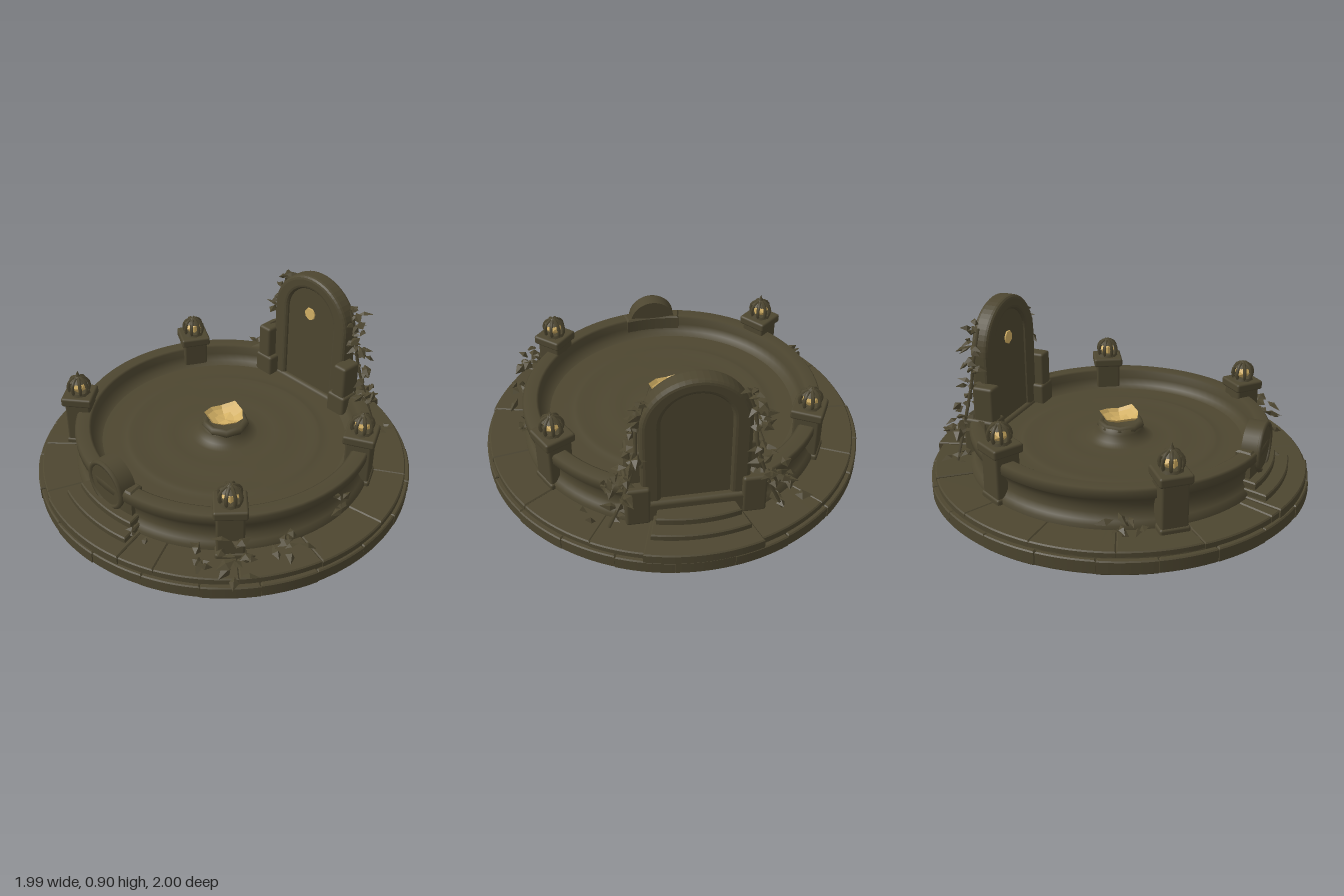
import * as THREE from 'three';
import { mergeGeometries } from 'three/addons/utils/BufferGeometryUtils.js';
import { RoundedBoxGeometry } from 'three/addons/geometries/RoundedBoxGeometry.js';

const stone = new THREE.MeshStandardMaterial({ color: 0x4d4630, side: THREE.DoubleSide });
stone.name = 'mossy dark stone';
const gold = new THREE.MeshStandardMaterial({ color: 0xd3b064, side: THREE.DoubleSide });
gold.name = 'glowing gold';

let seed = 7;
const rnd = (a = 0, b = 1) => {
  seed = (seed * 16807) % 2147483647;
  return a + (b - a) * (seed / 2147483647);
};

function add(parent, name, geometry, material = stone, x = 0, y = 0, z = 0) {
  const mesh = new THREE.Mesh(geometry, material);
  mesh.name = name;
  mesh.position.set(x, y, z);
  parent.add(mesh);
  return mesh;
}

const lathe = (pts, n = 72, start = 0, sweep = Math.PI * 2) =>
  new THREE.LatheGeometry(pts.map(p => new THREE.Vector2(...p)), n, start, sweep);

// Bevelled ring sector lying flat; angle 0 is +x and grows towards the back
function arcBlock(r0, r1, a0, a1, y0, y1, bevel = 0.006) {
  const s = new THREE.Shape();
  s.absarc(0, 0, r1, a0, a1, false);
  s.absarc(0, 0, r0, a1, a0, true);
  const g = new THREE.ExtrudeGeometry(s, {
    depth: y1 - y0 - 2 * bevel, bevelThickness: bevel, bevelSize: bevel,
    bevelOffset: -bevel, bevelSegments: 1, curveSegments: 10,
  });
  return g.rotateX(-Math.PI / 2).translate(0, y0 + bevel, 0);
}

// Upright outline with a round top
function archPath(path, half, bottom, spring) {
  path.moveTo(-half, bottom);
  path.lineTo(half, bottom);
  path.lineTo(half, spring);
  path.absarc(0, spring, half, 0, Math.PI, false);
  path.lineTo(-half, bottom);
  return path;
}

function archSlab(half, bottom, spring, z0, z1, bevel, holeHalf) {
  const s = archPath(new THREE.Shape(), half, bottom, spring);
  if (holeHalf) s.holes.push(archPath(new THREE.Path(), holeHalf, bottom + 0.08, spring + 0.02));
  return new THREE.ExtrudeGeometry(s, {
    depth: z1 - z0 - 2 * bevel, bevelThickness: bevel, bevelSize: bevel,
    bevelOffset: -bevel, bevelSegments: 3, curveSegments: 14,
  }).translate(0, 0, z0 + bevel);
}

// Folded pointed leaf
function leaf(len, width) {
  const o = [0, 0, 0], t = [0, -len * 0.15, len], m = [0, 0.012, len * 0.45];
  const l = [-width, -0.008, len * 0.4], r = [width, -0.008, len * 0.4];
  const tris = [[o, m, l], [l, m, t], [o, r, m], [m, r, t]];
  const g = new THREE.BufferGeometry();
  g.setAttribute('position', new THREE.Float32BufferAttribute(tris.flat(2), 3));
  g.computeVertexNormals();
  return g;
}

// Leaves scattered in a box around a point, fanning outwards
function ivy(parent, name, [x, y, z], [sx, sy, sz], count, size = 0.08) {
  const leaves = [];
  for (let i = 0; i < count; i++) {
    const g = leaf(size * rnd(0.7, 1.2), size * rnd(0.2, 0.36));
    g.rotateZ(rnd(-0.8, 0.8)).rotateX(rnd(-0.4, 0.5)).rotateY(rnd(0, Math.PI * 2));
    leaves.push(g.translate(x + rnd(-sx, sx), y + rnd(-sy, sy), z + rnd(-sz, sz)));
  }
  add(parent, name, mergeGeometries(leaves));
}

function lanternPost(x, z, finial) {
  const post = new THREE.Group();
  post.name = 'lanternPost';
  post.position.set(x, 0, z);
  post.rotation.y = Math.atan2(x, z);
  const box = (name, w, y0, y1) =>
    add(post, name, new RoundedBoxGeometry(w, y1 - y0, w, 2, 0.012), stone, 0, (y0 + y1) / 2, 0);
  box('postFoot', 0.15, 0.09, 0.13);
  box('postShaft', 0.135, 0.1, 0.37);
  box('postCap', 0.165, 0.345, 0.395);
  add(post, 'lanternBase', new THREE.CylinderGeometry(0.055, 0.062, 0.02, 8), stone, 0, 0.4, 0);
  const core = add(post, 'lanternGlow', new THREE.IcosahedronGeometry(0.046, 0), gold, 0, 0.437, 0);
  core.scale.y = 0.85;
  // Curved cage ribs meeting under a pointed roof
  for (let i = 0; i < 4; i++) {
    const rib = add(post, 'cageRib', new THREE.TorusGeometry(0.056, 0.0095, 5, 12, Math.PI * 1.5), stone, 0, 0.435, 0);
    rib.geometry.rotateZ(-Math.PI * 0.25);
    rib.rotation.y = (i + 0.5) * Math.PI / 4;
  }
  add(post, 'lanternRoof', new THREE.CylinderGeometry(0.012, 0.05, 0.03, 8), stone, 0, 0.483, 0);
  add(post, 'lanternFinial', new THREE.ConeGeometry(0.016, finial, 6), stone, 0, 0.49 + finial / 2, 0);
  return post;
}

export function createModel() {
  seed = 7;
  const model = new THREE.Group();
  model.name = 'courtyardFountain';

  // Round plinth with two courses of paving stones
  add(model, 'plinthCore', new THREE.CylinderGeometry(0.968, 0.99, 0.098, 72), stone, 0, 0.049, 0);
  const courses = [[0.9, 0.998, 0, 0.07, 22], [0.76, 0.975, 0.06, 0.104, 15]];
  courses.forEach(([r0, r1, y0, y1, n], c) => {
    const stones = [];
    for (let i = 0; i < n; i++) {
      const a = (i + c * 0.4) * Math.PI * 2 / n;
      stones.push(arcBlock(r0, r1 + rnd(-0.005, 0.002), a + 0.001, a + Math.PI * 2 / n - 0.001, y0, y1 + rnd(-0.003, 0.004)));
    }
    add(model, c ? 'pavingStones' : 'kerbStones', mergeGeometries(stones));
  });

  // Curved steps at the front and back
  const steps = [[0.985, 0.292, 0.116], [0.89, 0.27, 0.147], [0.82, 0.25, 0.182]];
  for (const side of [-1, 1]) {
    for (const [r, half, top] of steps) {
      const a = side * Math.PI / 2;
      const reach = r + (side > 0 ? 0.012 : 0);
      add(model, side > 0 ? 'backStep' : 'frontStep', arcBlock(0.68, reach, a - half, a + half, 0.06, top));
    }
  }

  // Flared basin wall, open behind where the arch stands
  add(model, 'basinWall', lathe([
    [0.79, 0.09], [0.79, 0.125], [0.77, 0.14], [0.752, 0.17], [0.75, 0.21], [0.765, 0.245],
    [0.785, 0.26], [0.787, 0.298], [0.777, 0.31], [0.715, 0.31], [0.703, 0.302], [0.698, 0.26],
    [0.685, 0.222], [0.65, 0.208],
  ], 72, Math.PI + 0.35, Math.PI * 2 - 0.7));

  // Rippled basin floor rising to the spout
  add(model, 'basinFloor', lathe([
    [0.7, 0.207], [0.65, 0.208], [0.56, 0.206], [0.52, 0.208], [0.5, 0.216], [0.47, 0.207],
    [0.36, 0.206], [0.31, 0.216], [0.27, 0.207], [0.18, 0.21], [0.14, 0.225], [0.12, 0.26],
    [0.112, 0.285], [0.09, 0.292], [0, 0.28],
  ]));
  const collar = add(model, 'spoutCollar', new THREE.TorusGeometry(0.105, 0.022, 6, 9), stone, 0.01, 0.278, 0);
  collar.rotation.x = Math.PI / 2;

  // Golden open bloom with an uneven lip
  const bloom = lathe([[0.001, 0.293], [0.05, 0.3], [0.085, 0.315], [0.102, 0.332]], 9).toNonIndexed();
  const p = bloom.attributes.position;
  for (let i = 0; i < p.count; i++) {
    const x = p.getX(i), z = p.getZ(i), a = Math.atan2(z, x), r = Math.hypot(x, z);
    const k = 1 + 0.1 * Math.sin(3 * a + 1);
    p.setXYZ(i, x * k, p.getY(i) + r * 0.14 * Math.sin(3 * a + 0.6), z * k);
  }
  bloom.computeVertexNormals();
  add(model, 'goldenBloom', bloom, gold, 0.01, 0, 0);

  // Tall arched back wall with a recessed panel
  add(model, 'archFrame', archSlab(0.262, 0.1, 0.643, -0.73, -0.63, 0.022, 0.165));
  add(model, 'archPanel', archSlab(0.2, 0.12, 0.655, -0.712, -0.65, 0.005));
  add(model, 'archFoot', new RoundedBoxGeometry(0.5, 0.13, 0.125, 2, 0.02), stone, 0, 0.16, -0.685);
  const gem = add(model, 'wallGem', new THREE.CylinderGeometry(0.036, 0.038, 0.009, 7), gold, -0.008, 0.678, -0.647);
  gem.rotation.x = Math.PI / 2;
  for (const side of [-1, 1]) {
    add(model, 'archButtress', new RoundedBoxGeometry(0.085, 0.38, 0.12, 2, 0.015), stone, side * 0.285, 0.31, -0.635);
    add(model, 'buttressFoot', new RoundedBoxGeometry(0.12, 0.22, 0.185, 2, 0.015), stone, side * 0.28, 0.21, -0.66);
  }

  // Round medallion crest at the front rim
  const crest = add(model, 'frontCrest', new THREE.CylinderGeometry(0.13, 0.13, 0.088, 32), stone, 0, 0.286, 0.738);
  crest.rotation.x = Math.PI / 2;
  add(model, 'crestRim', new THREE.TorusGeometry(0.119, 0.014, 6, 32), stone, 0, 0.286, 0.778);
  add(model, 'crestBase', arcBlock(0.69, 0.775, -Math.PI / 2 - 0.22, -Math.PI / 2 + 0.22, 0.17, 0.318, 0.01));

  // Four lantern posts
  model.add(
    lanternPost(-0.6, 0.5, 0.04), lanternPost(0.585, 0.5, 0.015),
    lanternPost(-0.65, -0.35, 0.015), lanternPost(0.645, -0.35, 0.015),
  );

  // Ivy climbing the arch and creeping over the plinth
  for (const side of [-1, 1]) {
    const stem = new THREE.CatmullRomCurve3([
      [0.42, 0.11, -0.75], [0.34, 0.3, -0.74], [0.285, 0.5, -0.72], [0.275, 0.65, -0.7], [0.235, 0.79, -0.69],
    ].map(([x, y, z]) => new THREE.Vector3(side * x, y, z)));
    add(model, 'ivyStem', new THREE.TubeGeometry(stem, 24, 0.009, 5));
    for (let i = 0; i < 7; i++) {
      const q = stem.getPoint(0.25 + i * 0.12);
      ivy(model, 'archIvy', [q.x + side * 0.02, q.y, q.z - 0.01], [0.025, 0.04, 0.03], 5, 0.075);
    }
    ivy(model, 'wallIvy', [side * 0.39, 0.31, -0.7], [0.09, 0.02, 0.05], 12, 0.085);
    ivy(model, 'lowIvy', [side * 0.45, 0.14, -0.71], [0.09, 0.04, 0.04], 5);
    ivy(model, 'plinthIvy', [side * 0.78, 0.17, 0.35], [0.04, 0.06, 0.09], 9);
  }
  ivy(model, 'postIvy', [0.71, 0.18, 0.58], [0.07, 0.07, 0.06], 15, 0.09);
  ivy(model, 'postIvy', [0.55, 0.12, 0.66], [0.06, 0.02, 0.04], 6);
  ivy(model, 'rimIvy', [0.24, 0.13, 0.77], [0.06, 0.03, 0.02], 5, 0.05);
  ivy(model, 'sideIvy', [0.79, 0.2, -0.02], [0.02, 0.06, 0.05], 6, 0.06);
  return model;
}
